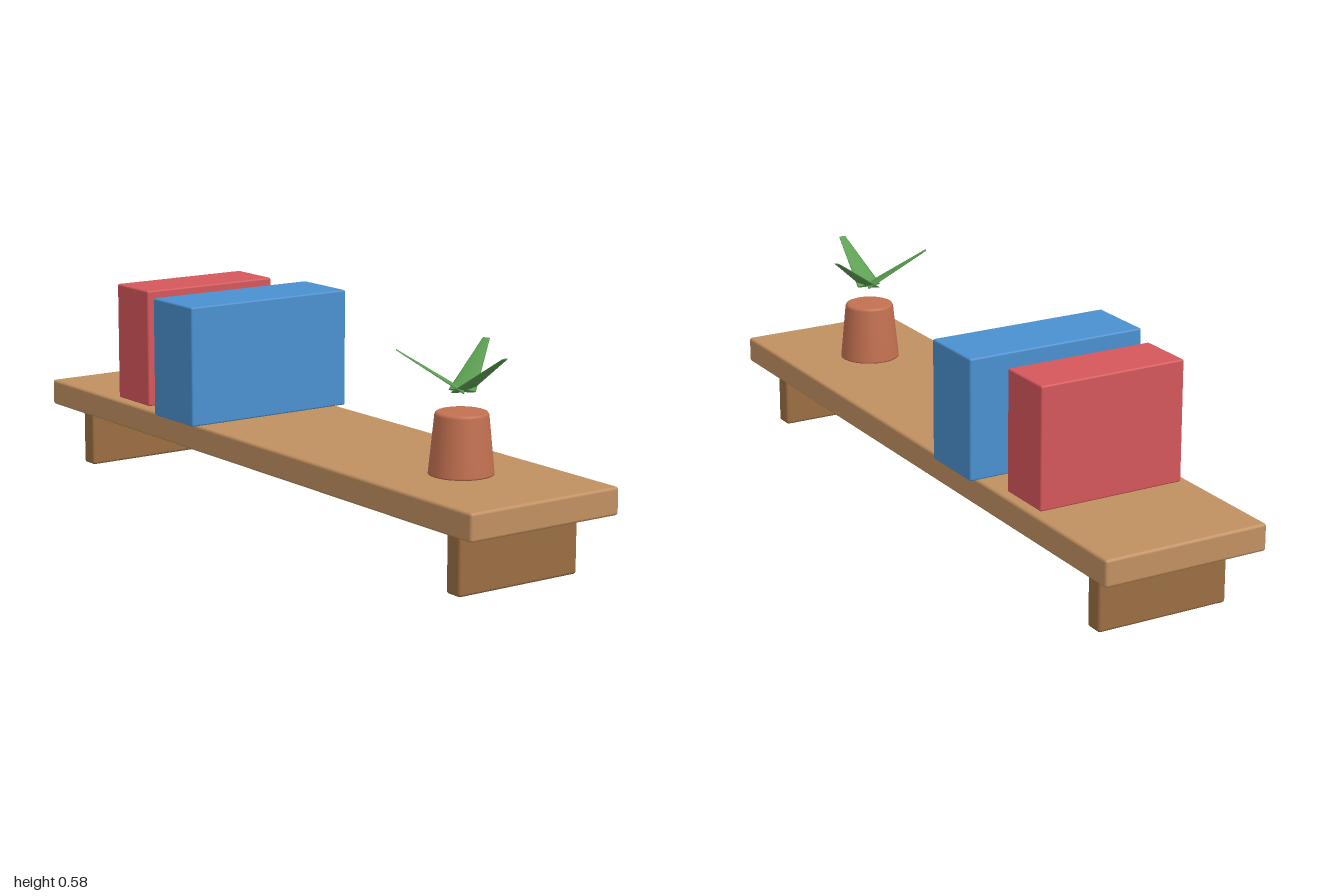
import * as THREE from 'three';
import { RoundedBoxGeometry } from 'three/addons/geometries/RoundedBoxGeometry.js';

const paint = (name, color) => {
  const m = new THREE.MeshStandardMaterial({ color });
  m.name = name;
  return m;
};

export function createModel() {
  const model = new THREE.Group();
  model.name = 'shelf';
  const wood = paint('light wood', 0xc09060);
  const darkWood = paint('dark wood', 0x9b6e42);
  const red = paint('red', 0xd4575b);
  const blue = paint('blue', 0x4a90cf);
  const clay = paint('terracotta', 0xc27050);
  const green = paint('leaf green', 0x5a9e50);

  const add = (parent, name, geometry, material) => {
    const mesh = new THREE.Mesh(geometry, material);
    mesh.name = name;
    parent.add(mesh);
    return mesh;
  };
  // Softly bevelled box given by its centre x, bottom, top and sizes
  const block = (name, material, x, y0, y1, w, d, r) =>
    add(model, name, new RoundedBoxGeometry(w, y1 - y0, d, 2, r), material)
      .position.set(x, (y0 + y1) / 2, 0);

  // Board and its two supports
  block('board', wood, 0, 0.169, 0.243, 2, 0.474, 0.008);
  block('leftSupport', darkWood, 0.873, 0.002, 0.167, 0.054, 0.38, 0.008);
  block('rightSupport', darkWood, -0.873, 0.002, 0.167, 0.054, 0.38, 0.008);

  // Books
  block('redBook', red, -0.575, 0.244, 0.577, 0.164, 0.424, 0.005);
  block('blueBook', blue, -0.288, 0.244, 0.577, 0.197, 0.52, 0.005);

  // Potted plant
  const plant = new THREE.Group();
  plant.name = 'plant';
  plant.position.x = 0.665;
  model.add(plant);

  // Closed tapered pot with a softened top edge
  const profile = [[0, 0.245], [0.085, 0.245], [0.085, 0.249], [0.07, 0.398], [0.067, 0.404], [0.062, 0.406], [0, 0.406]];
  const potPoints = profile.map(([r, y]) => new THREE.Vector2(r, y));
  add(plant, 'pot', new THREE.LatheGeometry(potPoints, 32), clay);

  // Three flat tapering leaves rising outwards from the centre
  const rise = 0.108, reach = 0.168;
  const length = Math.hypot(rise, reach);
  const leaf = new THREE.CylinderGeometry(0.01, 0.037, length, 12);
  leaf.translate(0, length / 2, 0);
  leaf.scale(0.12, 1, 1);
  leaf.rotateZ(-Math.atan2(reach, rise));
  for (let i = 0; i < 3; i++) {
    const blade = add(plant, 'leaf' + (i + 1), leaf, green);
    blade.position.y = 0.459;
    blade.rotation.y = (i * Math.PI * 2) / 3;
  }
  return model;
}
